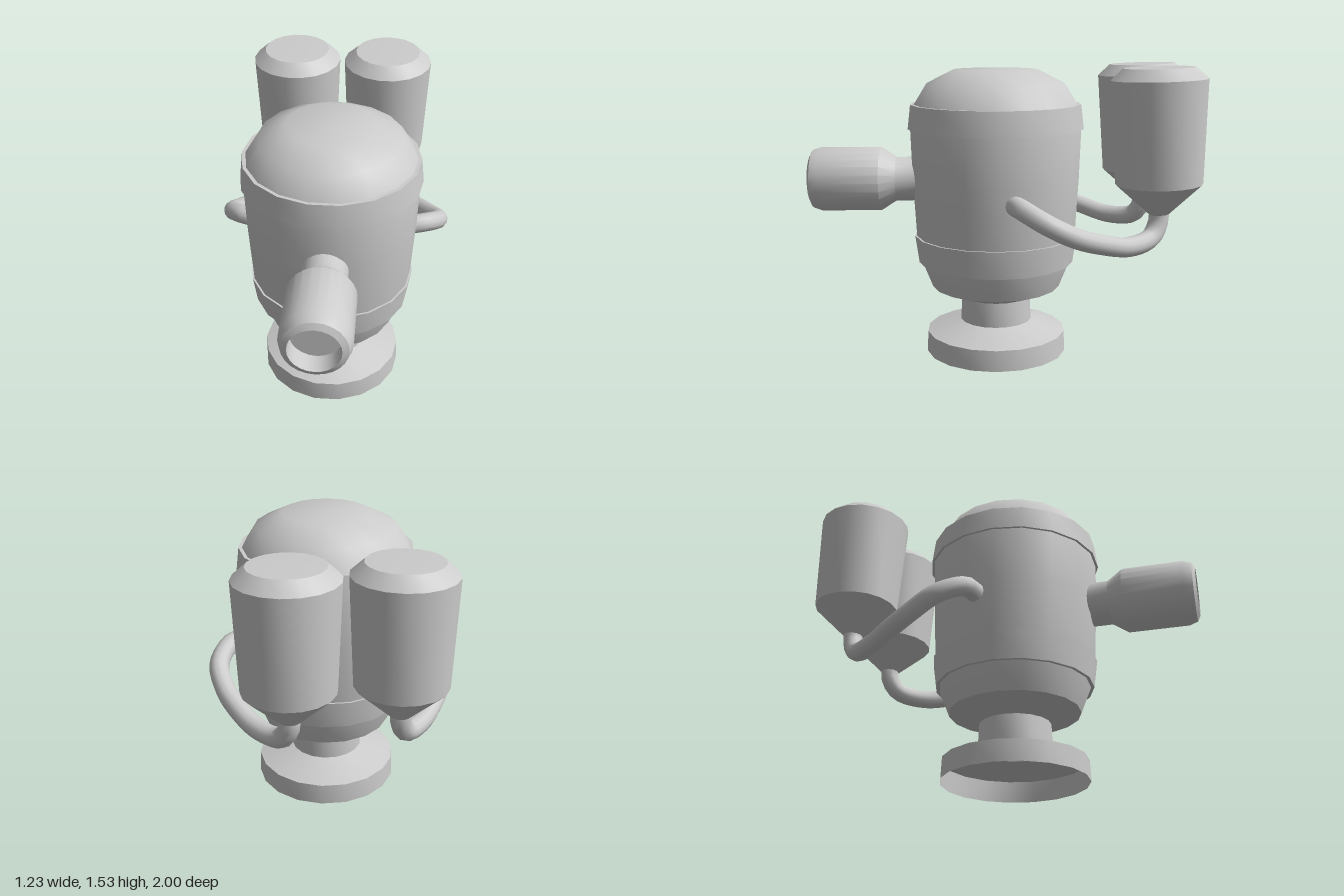
import * as THREE from 'three';
import { toCreasedNormals } from 'three/addons/utils/BufferGeometryUtils.js';

const grey = new THREE.MeshStandardMaterial({ color: 0xcccccc, side: THREE.DoubleSide });
const SIDES = 18;

// Turned part from [radius, height] pairs, soft around and creased at sharp steps
function turned(name, profile, sides = SIDES) {
  const points = profile.map(([r, y]) => new THREE.Vector2(r, y));
  const geometry = new THREE.LatheGeometry(points, sides, Math.PI / 2);
  const mesh = new THREE.Mesh(toCreasedNormals(geometry, 0.6), grey);
  mesh.name = name;
  return mesh;
}

export function createModel() {
  const model = new THREE.Group();
  model.name = 'tankMachine';

  // Upright core: hollow foot, neck, barrel body, bands and dome
  const core = new THREE.Group();
  core.name = 'core';
  core.position.z = 0.03;
  core.add(
    turned('foot', [[0.375, 0], [0.37, 0.11], [0.19, 0.17]]),
    turned('neck', [[0.19, 0.17], [0.185, 0.3]]),
    turned('body', [
      [0.185, 0.3], [0.34, 0.36], [0.393, 0.495], [0.42, 0.64],
      [0.437, 0.95], [0.445, 1.2], [0.425, 1.325],
    ]),
    turned('lowerBand', [[0.393, 0.495], [0.41, 0.495], [0.43, 0.64], [0.418, 0.64]]),
    turned('upperBand', [[0.44, 1.2], [0.458, 1.2], [0.443, 1.325], [0.422, 1.325]]),
    turned('dome', [[0.425, 1.325], [0.36, 1.43], [0.22, 1.5], [0, 1.503]]),
  );
  model.add(core);

  // Front nozzle with a recessed mouth, turned along z
  const nozzle = turned('nozzle', [
    [0.115, 0.4], [0.115, 0.55], [0.167, 0.63], [0.167, 0.94],
    [0.152, 0.985], [0.122, 1], [0.122, 0.9], [0, 0.9],
  ], 24);
  nozzle.rotation.x = Math.PI / 2;
  nozzle.position.y = 0.932;
  model.add(nozzle);

  // Rear tanks and the pipes that feed them, one per side
  for (const side of [1, -1]) {
    const prefix = side > 0 ? 'left' : 'right';

    const tank = turned(prefix + 'Tank', [
      [0.045, -0.42], [0.217, -0.26], [0.238, 0.255], [0.175, 0.312], [0, 0.318],
    ]);
    tank.position.set(side * 0.25, 1.208, -0.775);
    tank.rotation.x = 0.032;
    model.add(tank);

    const path = new THREE.CatmullRomCurve3([
      [0.4, 0.865, -0.06], [0.49, 0.865, -0.09], [0.563, 0.805, -0.21],
      [0.54, 0.735, -0.35], [0.48, 0.69, -0.48], [0.39, 0.657, -0.62],
      [0.29, 0.68, -0.745], [0.255, 0.75, -0.785], [0.25, 0.83, -0.79],
    ].map(([x, y, z]) => new THREE.Vector3(side * x, y, z)));
    const pipe = new THREE.Mesh(new THREE.TubeGeometry(path, 28, 0.05, 12), grey);
    pipe.name = prefix + 'Pipe';
    model.add(pipe);
  }

  return model;
}
